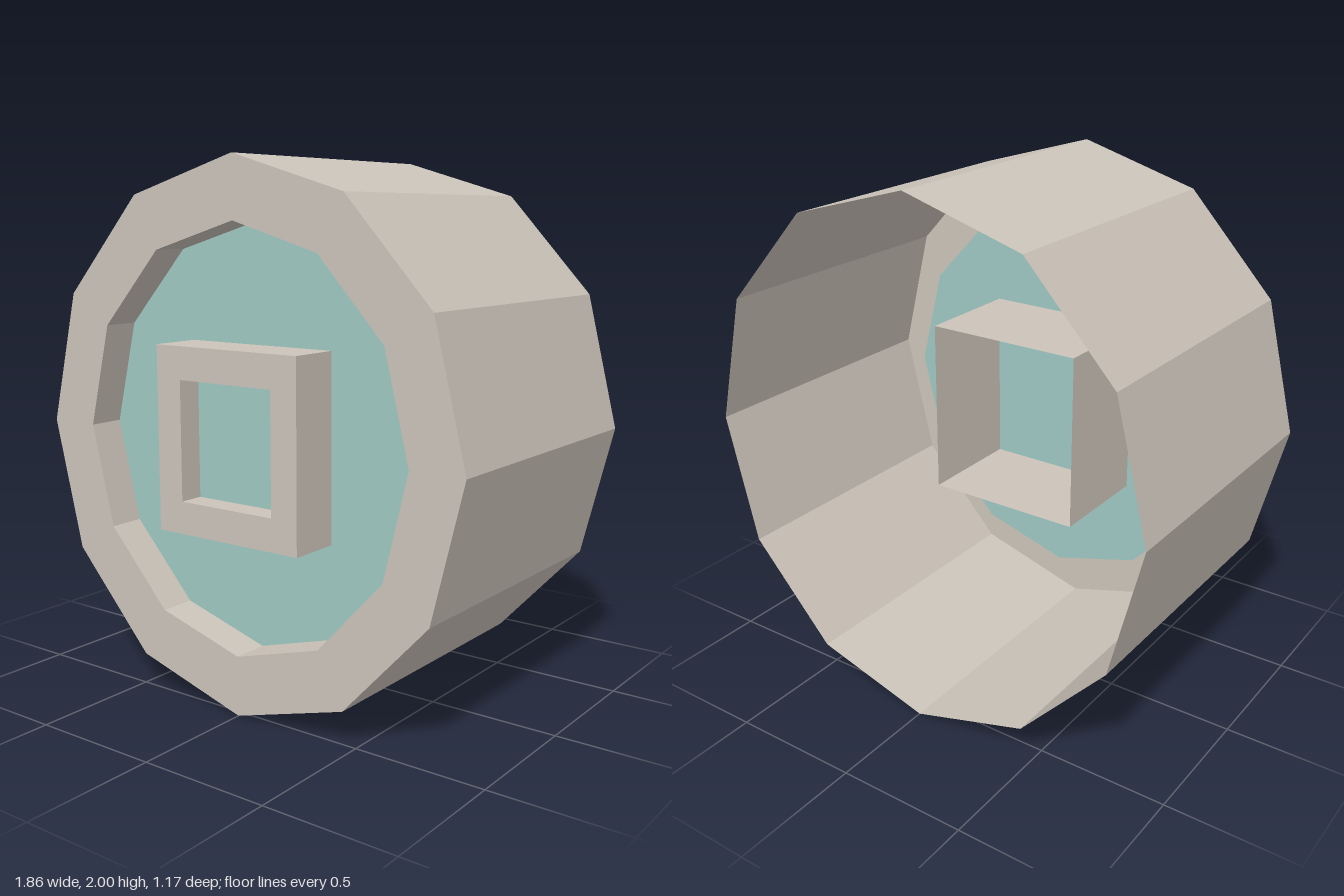
import * as THREE from 'three';

const CY = 1; // height of the drum axis

// Twelve-sided outline with a vertex at the top
function dodecagon(rx, ry) {
  return Array.from({ length: 12 }, (_, i) => {
    const a = (i / 12) * Math.PI * 2;
    return new THREE.Vector2(rx * Math.cos(a), CY + ry * Math.sin(a));
  });
}

// Rectangle outline centred on the axis
function rectangle(hx, hy) {
  return [[hx, -hy], [hx, hy], [-hx, hy], [-hx, -hy]].map(([x, y]) => new THREE.Vector2(x, CY + y));
}

// Open wall following an outline from z0 (back) to z1 (front)
function wall(points, z0, z1) {
  const pos = [];
  points.forEach((a, i) => {
    const b = points[(i + 1) % points.length];
    pos.push(a.x, a.y, z1, a.x, a.y, z0, b.x, b.y, z0);
    pos.push(a.x, a.y, z1, b.x, b.y, z0, b.x, b.y, z1);
  });
  const geo = new THREE.BufferGeometry();
  geo.setAttribute('position', new THREE.Float32BufferAttribute(pos, 3));
  geo.computeVertexNormals();
  return geo;
}

// Flat plate at depth z, with an optional hole
function plate(points, z, hole) {
  const shape = new THREE.Shape(points);
  if (hole) shape.holes.push(new THREE.Path(hole));
  return new THREE.ShapeGeometry(shape).translate(0, 0, z);
}

export function createModel() {
  const casing = new THREE.MeshStandardMaterial({ name: 'warmGrey', color: 0xccc4ba, side: THREE.DoubleSide, flatShading: true });
  const glass = new THREE.MeshStandardMaterial({ name: 'paleTeal', color: 0xa0c8c3, side: THREE.DoubleSide, flatShading: true });

  const group = new THREE.Group();
  group.name = 'drum';
  const add = (name, geo, mat) => {
    const mesh = new THREE.Mesh(geo, mat);
    mesh.name = name;
    group.add(mesh);
  };

  // Drum shell, open at the back
  const outer = dodecagon(0.928, 1);
  const inner = dodecagon(0.72, 0.775);
  add('drumWall', wall(outer, -0.585, 0.53), casing);
  add('frontRim', plate(outer, 0.53, inner), casing);
  add('rimLip', wall(inner, 0.39, 0.53), casing);
  add('frontDisc', plate(inner, 0.39), glass);

  // Square tube through the disc, open at the back
  const tube = rectangle(0.315, 0.34);
  const opening = rectangle(0.205, 0.22);
  add('tubeWall', wall(tube, -0.04, 0.585), casing);
  add('tubeFrame', plate(tube, 0.585, opening), casing);
  add('frameLip', wall(opening, 0.49, 0.585), casing);
  add('tubePane', plate(opening, 0.49), glass);

  return group;
}
